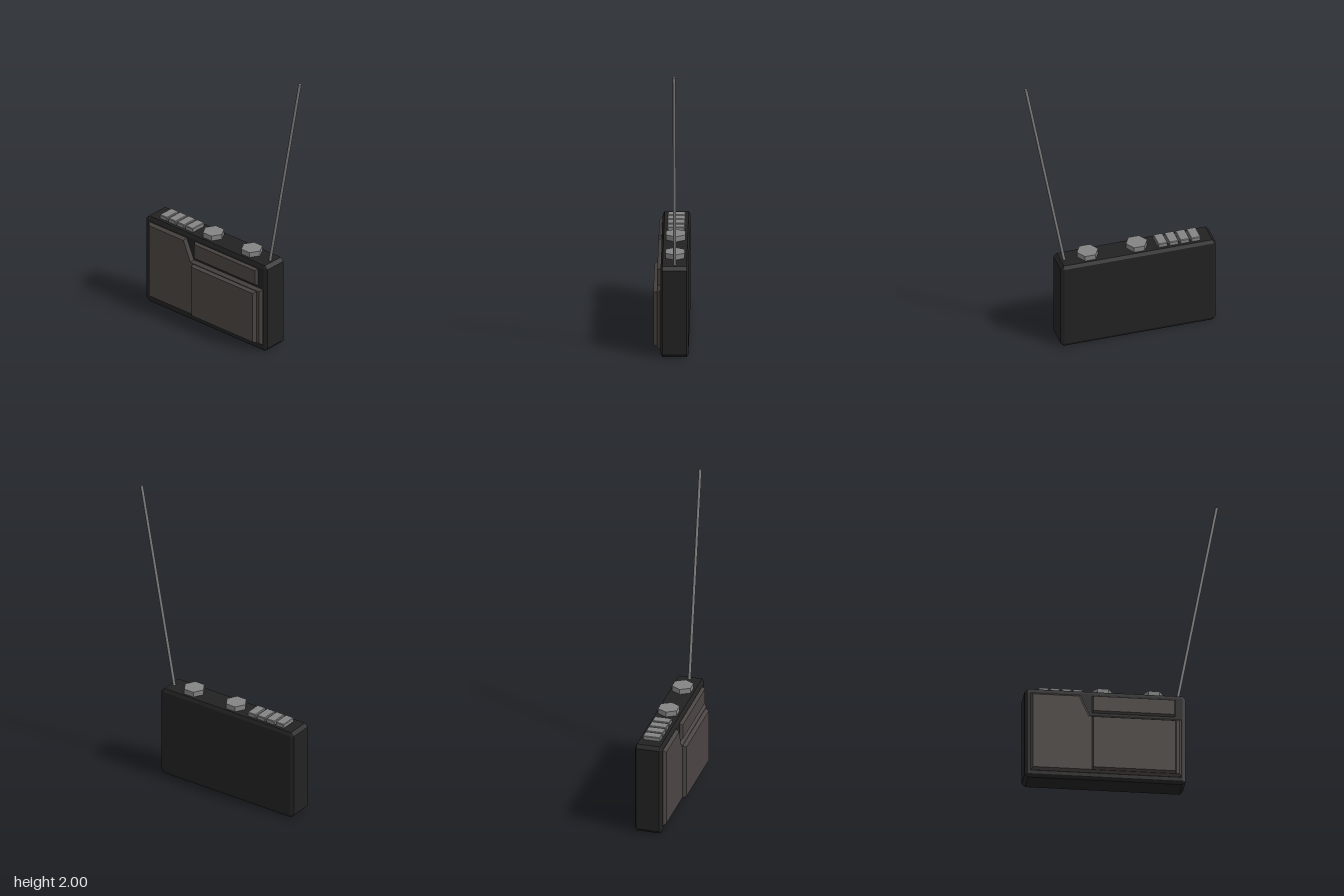
import * as THREE from 'three';
import { ConvexGeometry } from 'three/addons/geometries/ConvexGeometry.js';

const mat = (name, color) => {
  const m = new THREE.MeshStandardMaterial({ color });
  m.name = name;
  return m;
};

// Box with chamfered edges, (cx, cy, cz) centre, (hx, hy, hz) half sizes
function chamferBox([cx, cy, cz], [hx, hy, hz], b, bz) {
  const pts = [];
  for (const sx of [-1, 1]) for (const sy of [-1, 1]) for (const sz of [-1, 1]) {
    for (const [dx, dy, dz] of [[0, b, bz], [b, 0, bz], [b, b, 0]]) {
      pts.push(new THREE.Vector3(cx + sx * (hx - dx), cy + sy * (hy - dy), cz + sz * (hz - dz)));
    }
  }
  return new ConvexGeometry(pts);
}

// Flat plate with a bevelled front rim; its back sinks into what is behind it
function plate(outline, front, bevel, thickness, depth) {
  const shape = new THREE.Shape(outline.map(([x, y]) => new THREE.Vector2(x, y)));
  const g = new THREE.ExtrudeGeometry(shape, {
    depth, bevelEnabled: true, bevelSegments: 1,
    bevelSize: bevel, bevelOffset: -bevel, bevelThickness: thickness,
  });
  return g.translate(0, 0, front - depth - thickness);
}

const rect = (x0, y0, x1, y1) => [[x0, y0], [x1, y0], [x1, y1], [x0, y1]];

export function createModel() {
  const group = new THREE.Group();
  const black = mat('black casing', 0x222222);
  const brown = mat('brown grey panel', 0x4a4543);
  const grey = mat('grey controls', 0x848484);
  const add = (name, geometry, material) => {
    const mesh = new THREE.Mesh(geometry, material);
    mesh.name = name;
    group.add(mesh);
    return mesh;
  };

  // Casing
  add('casing', chamferBox([-0.113, 0.31, -0.026], [0.518, 0.31, 0.089], 0.022, 0.012), black);

  // Front panels
  add('frontPanel', plate([
    [-0.595, 0.045], [0.377, 0.045], [0.377, 0.45],
    [-0.213, 0.45], [-0.275, 0.587], [-0.595, 0.587],
  ], 0.085, 0.015, 0.02, 0.02), brown);
  add('tunerDisplay', plate(rect(-0.2, 0.468, 0.336, 0.585), 0.085, 0.008, 0.015, 0.02), brown);
  add('cassetteDoor', plate(rect(-0.202, 0.06, 0.34, 0.43), 0.11, 0.008, 0.02, 0.02), brown);

  // Push buttons
  for (let i = 0; i < 4; i++) {
    const g = chamferBox([-0.506 + i * 0.0735, 0.626, -0.027], [0.032, 0.02, 0.057], 0.004, 0.004);
    add('button' + (i + 1), g, grey);
  }

  // Hexagonal knobs
  [['volumeKnob', -0.126], ['tuningKnob', 0.202]].forEach(([name, x]) => {
    const knob = add(name, new THREE.CylinderGeometry(0.071, 0.071, 0.045, 6).rotateY(Math.PI / 6).toNonIndexed(), grey);
    knob.geometry.computeVertexNormals();
    knob.position.set(x, 0.6325, -0.027);
  });

  // Leaning antenna
  const from = new THREE.Vector3(0.353, 0.59, -0.027);
  const to = new THREE.Vector3(0.614, 1.998, -0.027);
  const dir = to.clone().sub(from);
  const antenna = add('antenna', new THREE.CylinderGeometry(0.01, 0.01, dir.length(), 8), grey);
  antenna.position.copy(from).lerp(to, 0.5);
  antenna.quaternion.setFromUnitVectors(new THREE.Vector3(0, 1, 0), dir.normalize());

  return group;
}
